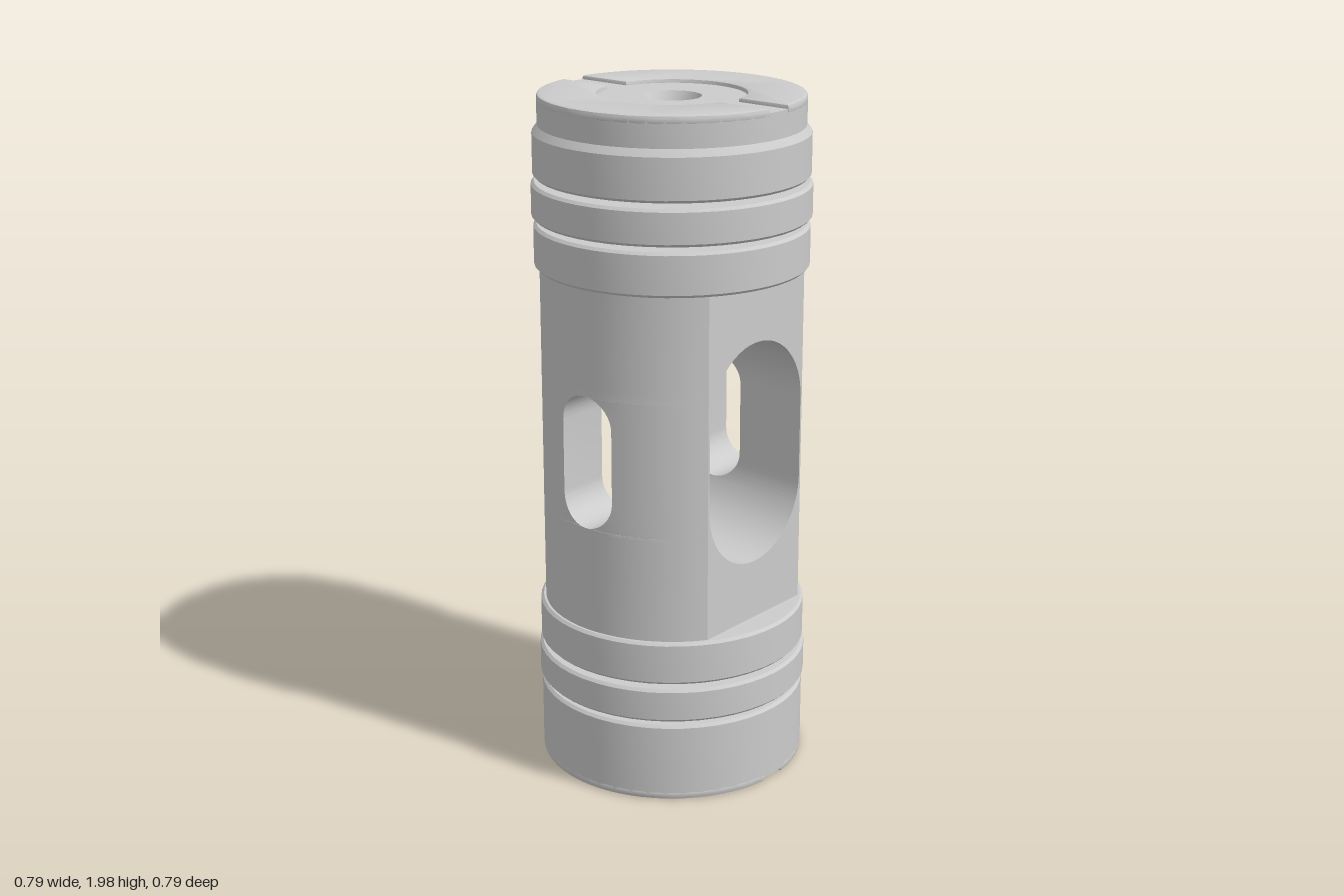
import * as THREE from 'three';
import { toCreasedNormals } from 'three/addons/utils/BufferGeometryUtils.js';

const grey = new THREE.MeshStandardMaterial({ color: 0xcccccc });
const SEG = 48;
const R = 0.375;      // middle body radius
const FLAT = 0.31;    // distance of the front and back flats from the axis
const Y0 = 0.5, Y1 = 1.505;
const BIG = { r: 0.205, lo: 0.675, hi: 1.33 };    // window along z
const SMALL = { r: 0.09, lo: 0.81, hi: 1.2 };     // window along x

function add(group, name, geometry, crease = 0.5) {
  const mesh = new THREE.Mesh(toCreasedNormals(geometry, crease), grey);
  mesh.name = name;
  group.add(mesh);
  return mesh;
}

function lathe(points) {
  return new THREE.LatheGeometry(points.map(([x, y]) => new THREE.Vector2(x, y)), SEG);
}

// Half width of a round-ended window at height y (0 outside it)
function halfWidth({ r, lo, hi }, y) {
  const d = Math.max(lo + r - y, y - (hi - r), 0);
  return d >= r ? 0 : Math.sqrt(r * r - d * d);
}

// Heights where the window outline needs a vertex
function windowRows({ r, lo, hi }) {
  const rows = [];
  for (let i = 0; i <= 12; i++) {
    const c = r * (1 - Math.cos((i / 12) * Math.PI / 2));
    rows.push(lo + c, hi - c);
  }
  return rows;
}

// Solid body with two flats and two crossing windows, lofted as four mirrored quarters
function bodyGeometry() {
  const rows = [Y0, Y1, ...windowRows(BIG), ...windowRows(SMALL)].sort((a, b) => a - b)
    .filter((y, i, all) => i === 0 || y - all[i - 1] > 1e-5);
  const N = 10, edge = Math.asin(FLAT / R);
  const pos = [];

  function section(y) {
    const w = halfWidth(BIG, y), h = halfWidth(SMALL, y);
    const start = Math.asin(h / R);
    const outer = [];
    for (let i = 0; i <= N; i++) {
      const a = start + (edge - start) * i / N;
      outer.push([R * Math.cos(a), y, R * Math.sin(a)]);
    }
    // counter-clockwise walk: window side, outer curve, flat, inner wall
    return { w, h, loop: [[w, y, h], ...outer, [w, y, FLAT], [w, y, h]] };
  }

  for (let j = 0; j < rows.length - 1; j++) {
    const A = section(rows[j]), B = section(rows[j + 1]);
    const last = A.loop.length - 2;
    for (let i = 0; i <= last; i++) {
      if (i === 0 && A.h + B.h < 1e-6) continue;       // no small window here
      if (i === last && A.w + B.w < 1e-6) continue;    // no big window here
      const a = A.loop[i], b = A.loop[i + 1], c = B.loop[i + 1], d = B.loop[i];
      for (const sx of [1, -1]) for (const sz of [1, -1]) {
        const order = sx * sz > 0 ? [a, d, c, a, c, b] : [a, c, d, a, b, c];
        for (const p of order) pos.push(p[0] * sx, p[1], p[2] * sz);
      }
    }
  }
  const geo = new THREE.BufferGeometry();
  geo.setAttribute('position', new THREE.Float32BufferAttribute(pos, 3));
  return geo;
}

// Half ring pad; a pair leaves a central recess and a slot along z
function padGeometry(inner, outer) {
  const half = 0.04, b = 0.008;
  const ao = Math.acos(half / outer), ai = Math.acos(half / inner);
  const shape = new THREE.Shape();
  shape.absarc(0, 0, outer, -ao, ao, false);
  shape.absarc(0, 0, inner, ai, -ai, true);
  return new THREE.ExtrudeGeometry(shape, {
    depth: 0.012, curveSegments: 24,
    bevelThickness: b, bevelSize: b, bevelOffset: -b, bevelSegments: 2,
  });
}

function addPads(group, name, inner, outer, up) {
  for (const turn of [0, Math.PI]) {
    const geo = padGeometry(inner, outer);
    geo.rotateX(up ? -Math.PI / 2 : Math.PI / 2);
    geo.rotateY(turn);
    geo.translate(0, up ? 1.972 : 0.028, 0);
    add(group, name, geo);
  }
}

// Loose ring sitting in a groove
function addRing(group, name, lo, hi) {
  const r = 0.395, b = 0.008;
  add(group, name, lathe([
    [0.3, lo], [r - b, lo], [r, lo + b], [r, hi - b], [r - b, hi], [0.3, hi],
  ]));
}

export function createModel() {
  const group = new THREE.Group();
  group.name = 'spool';

  add(group, 'windowedBody', bodyGeometry());

  // Lower end with a stepped bore and a ring groove
  add(group, 'lowerEnd', lathe([
    [0, 0.24], [0.093, 0.2], [0.093, 0.1], [0.16, 0.1], [0.172, 0.02],
    [0.39, 0.02], [0.39, 0.235], [0.382, 0.243], [0.31, 0.243],
    [0.31, 0.372], [0.382, 0.372], [0.39, 0.38], [0.39, 0.492], [0.382, 0.5], [0, 0.5],
  ]));
  addRing(group, 'lowerRing', 0.257, 0.358);
  addPads(group, 'lowerPad', 0.295, 0.39, false);

  // Upper end with a ring groove, a stepped cap and a countersunk hole
  add(group, 'upperEnd', lathe([
    [0, 1.505], [0.382, 1.505], [0.39, 1.513], [0.39, 1.622], [0.382, 1.63],
    [0.31, 1.63], [0.31, 1.762], [0.382, 1.762], [0.39, 1.77], [0.39, 1.885],
    [0.375, 1.905], [0.375, 1.98], [0.083, 1.98], [0.042, 1.9], [0.042, 1.86], [0, 1.835],
  ]));
  addRing(group, 'upperRing', 1.645, 1.748);
  addPads(group, 'upperPad', 0.208, 0.375, true);

  return group;
}
